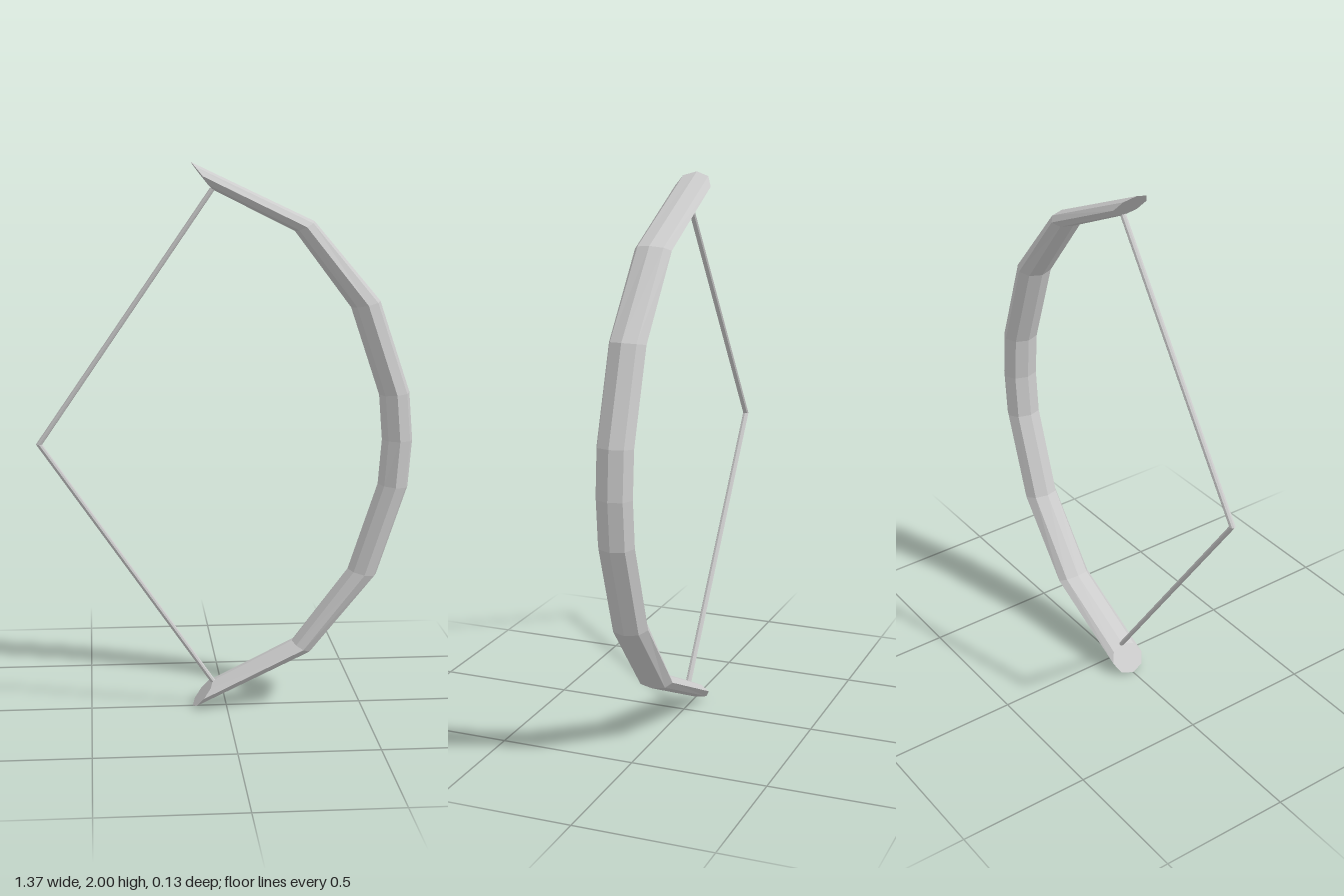
import * as THREE from 'three';

const SIDES = 8;

// Sweeps an eight-sided section along mitred joints, listed from top to bottom.
// Each joint is [xRight, yRight, xLeft, yLeft]: the two ends of its mitre line.
function sweep(name, joints, depth, material) {
  const positions = [];
  joints.forEach(([xr, yr, xl, yl]) => {
    for (let j = 0; j < SIDES; j++) {
      const a = (j / SIDES) * Math.PI * 2;
      const c = Math.cos(a) / 2;
      positions.push((xr + xl) / 2 + (xr - xl) * c, (yr + yl) / 2 + (yr - yl) * c, depth * Math.sin(a));
    }
  });
  const index = [];
  const last = (joints.length - 1) * SIDES;
  for (let i = 0; i < last; i += SIDES) {
    for (let j = 0; j < SIDES; j++) {
      const k = (j + 1) % SIDES;
      index.push(i + j, i + k, i + SIDES + k, i + j, i + SIDES + k, i + SIDES + j);
    }
  }
  // flat end caps
  for (let j = 1; j < SIDES - 1; j++) {
    index.push(0, j + 1, j, last, last + j, last + j + 1);
  }
  const geometry = new THREE.BufferGeometry();
  geometry.setAttribute('position', new THREE.Float32BufferAttribute(positions, 3));
  geometry.setIndex(index);
  const flat = geometry.toNonIndexed();
  flat.computeVertexNormals();
  const mesh = new THREE.Mesh(flat, material);
  mesh.name = name;
  return mesh;
}

// Completes a half path, ending at the middle joint, by mirroring it about y = 1.
function mirrored(half) {
  const lower = half.slice(0, -1).reverse().map(([xr, yr, xl, yl]) => [xr, 2 - yr, xl, 2 - yl]);
  return [...half, ...lower];
}

export function createModel() {
  const group = new THREE.Group();
  group.name = 'bow';
  const material = new THREE.MeshStandardMaterial({ color: 0xcccccc, flatShading: true });

  // curved bow stave with slanted tips
  const stave = mirrored([
    [-0.125, 2.0, -0.05, 1.905],
    [0.315, 1.792, 0.245, 1.757],
    [0.556, 1.507, 0.45, 1.484],
    [0.668, 1.175, 0.557, 1.165],
    [0.682, 1.0, 0.57, 1.0],
  ]);
  group.add(sweep('stave', stave, 0.067, material));

  // drawn string, bent at the nocking point
  const string = mirrored([
    [-0.036, 1.91, -0.058, 1.91],
    [-0.663, 1.0, -0.686, 1.0],
  ]);
  group.add(sweep('string', string, 0.011, material));

  return group;
}
